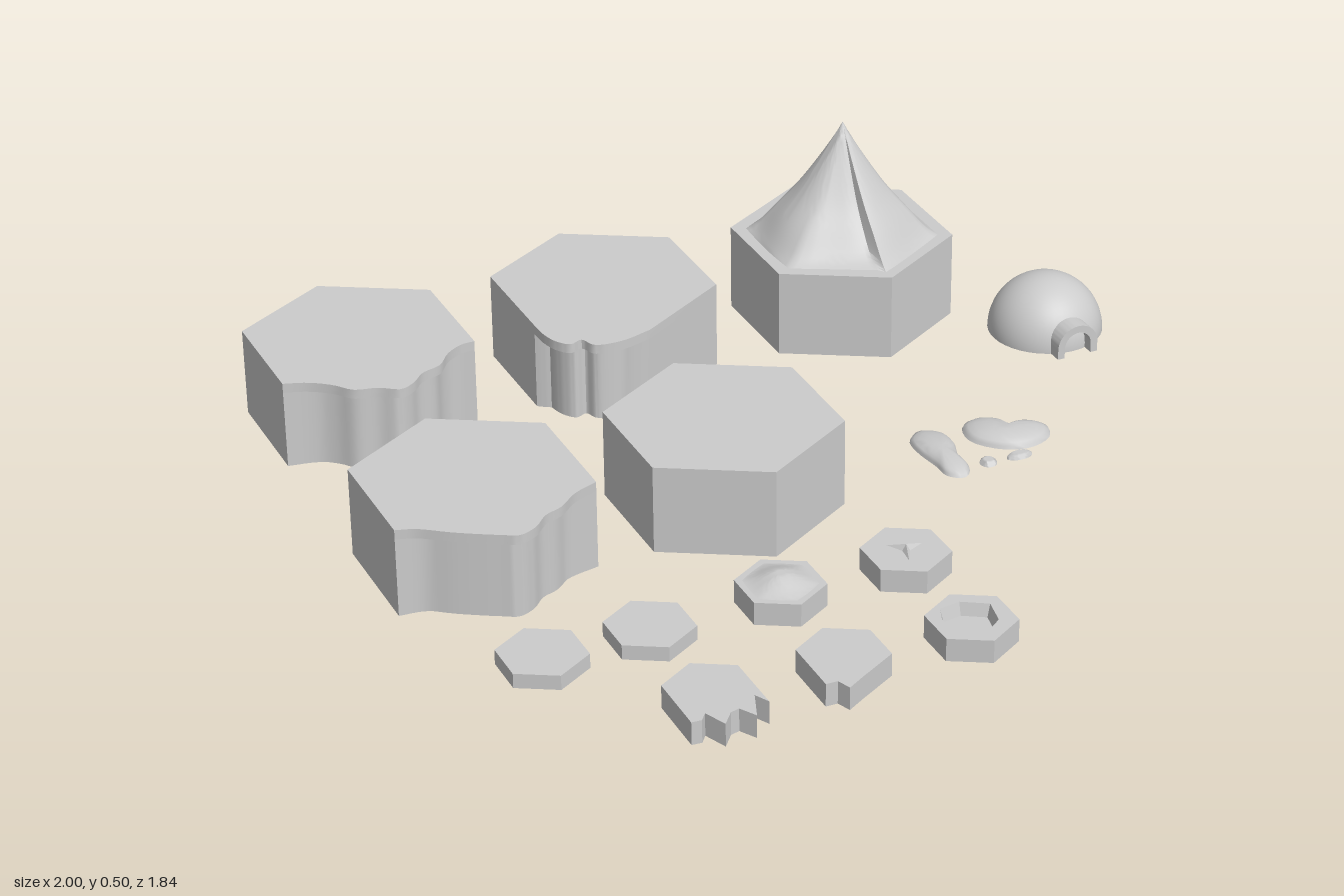
import * as THREE from 'three';
import { mergeGeometries, mergeVertices, toCreasedNormals } from 'three/addons/utils/BufferGeometryUtils.js';

const material = new THREE.MeshStandardMaterial({ color: 0xcccccc, side: THREE.DoubleSide });

function add(parent, name, geometry, x = 0, y = 0, z = 0) {
  const mesh = new THREE.Mesh(geometry, material);
  mesh.name = name;
  mesh.position.set(x, y, z);
  parent.add(mesh);
  return mesh;
}

// Geometry from a list of triangles, smooth except across sharp edges
function fromTriangles(positions, crease = 0.6) {
  const g = new THREE.BufferGeometry();
  g.setAttribute('position', new THREE.Float32BufferAttribute(positions, 3));
  return toCreasedNormals(mergeVertices(g), crease);
}

// Wall between two outlines of [x, z] points running counter-clockwise seen from above
function wall(low, high, y0, y1) {
  const p = [];
  low.forEach(([ax, az], i) => {
    const j = (i + 1) % low.length;
    const [bx, bz] = low[j], [cx, cz] = high[j], [dx, dz] = high[i];
    p.push(ax, y0, az, bx, y0, bz, cx, y1, cz, ax, y0, az, cx, y1, cz, dx, y1, dz);
  });
  return fromTriangles(p);
}

function flat(outline, y, hole) {
  const toVec = ([x, z]) => new THREE.Vector2(x, -z);
  const shape = new THREE.Shape(outline.map(toVec));
  if (hole) shape.holes.push(new THREE.Path(hole.map(toVec)));
  const g = new THREE.ShapeGeometry(shape).rotateX(-Math.PI / 2).translate(0, y, 0).toNonIndexed();
  g.deleteAttribute('uv');
  return g;
}

// Six corners, starting at the back point and going by the left side of the plan
const corners = r => Array.from({ length: 6 }, (_, i) => {
  const a = i * Math.PI / 3;
  return [-Math.sin(a) * r, -Math.cos(a) * r];
});

// Dense smooth line through plan points
function smooth(points, n = 40) {
  const c = new THREE.CatmullRomCurve3(points.map(([x, z]) => new THREE.Vector3(x, 0, z)));
  return c.getPoints(n).map(v => [v.x, v.z]);
}

// Hollow tile, open underneath unless closed
function tile(parent, name, x, z, outline, h, { hole, closed } = {}) {
  const parts = [wall(outline, outline, 0, h), flat(outline, h, hole)];
  if (closed) parts.push(flat(outline, 0));
  return add(parent, name, mergeGeometries(parts), x, 0, z);
}

// Hollow tile whose thin top slab overhangs a recessed, wavy shore
function shoreTile(parent, name, x, z, shore, keep, inset) {
  const c = corners(0.266), line = smooth(shore);
  const outline = [c[0], c[1], ...line, ...c.slice(keep)];
  const body = outline.map((p, i) => {
    const k = (i - 2) / (line.length - 1);
    if (k <= 0 || k >= 1) return p;
    const s = 1 - inset * Math.min(1, 8 * k, 8 * (1 - k));
    return [p[0] * s, p[1] * s];
  });
  const slab = 0.19, top = 0.213;
  add(parent, name, mergeGeometries([
    wall(body, body, 0, slab), flat(outline, slab), wall(outline, outline, slab, top), flat(outline, top),
  ]), x, 0, z);
}

// Hill that blends from a hexagonal foot to a round top; shape(t, angle) gives [spread, height]
function hill(r, shape, rings = 24, segs = 96) {
  const p = [];
  const at = (i, j) => {
    const t = i / rings, a = (j % segs) / segs * Math.PI * 2;
    const sector = (a % (Math.PI / 3)) - Math.PI / 6;
    const hex = Math.cos(Math.PI / 6) / Math.cos(sector);
    const [spread, y] = shape(t, a);
    const d = r * spread * THREE.MathUtils.lerp(0.93, hex, t * t);
    return [Math.sin(a) * d, y, Math.cos(a) * d];
  };
  for (let i = 0; i < rings; i++) for (let j = 0; j < segs; j++) {
    const a = at(i, j), b = at(i + 1, j), c = at(i + 1, j + 1), d = at(i, j + 1);
    p.push(...a, ...b, ...c);
    if (i) p.push(...a, ...c, ...d);
  }
  return fromTriangles(p, 0.9);
}

// Low rounded stone with a flat underside, from a plan outline
function stone(parent, name, x, z, points, h) {
  const line = smooth(points, 36).slice(0, -1);
  const closed = new THREE.CatmullRomCurve3(points.map(([a, b]) => new THREE.Vector3(a, 0, b)), true);
  const rim = closed.getPoints(36).slice(0, -1).map(v => [v.x, v.z]);
  const p = [], rings = 6, n = line.length;
  const at = (i, j) => {
    const a = i / rings * Math.PI / 2, [rx, rz] = rim[j % n];
    return [rx * Math.sin(a), h * Math.cos(a), rz * Math.sin(a)];
  };
  for (let i = 0; i < rings; i++) for (let j = 0; j < n; j++) {
    const a = at(i, j), b = at(i + 1, j), c = at(i + 1, j + 1), d = at(i, j + 1);
    p.push(...a, ...b, ...c);
    if (i) p.push(...a, ...c, ...d);
  }
  add(parent, name, mergeGeometries([fromTriangles(p, 1), flat(rim, 0)]), x, 0, z);
}

const oval = (a, b) => Array.from({ length: 8 }, (_, i) => {
  const t = -i * Math.PI / 4;
  return [a * Math.cos(t), b * Math.sin(t)];
});

export function createModel() {
  const group = new THREE.Group();
  group.name = 'hexTileSet';

  // Large tiles
  const coast = [[-0.23, 0.14], [-0.177, 0.16], [-0.13, 0.195], [-0.096, 0.235], [-0.043, 0.25], [0, 0.278],
    [0.037, 0.262], [0.07, 0.23], [0.118, 0.213], [0.155, 0.17], [0.198, 0.145], [0.23, 0.143]];
  const beach = [[-0.23, 0.145], [-0.187, 0.16], [-0.128, 0.203], [-0.075, 0.237], [-0.032, 0.262], [0, 0.278],
    [0.043, 0.262], [0.08, 0.227], [0.123, 0.21], [0.17, 0.172], [0.23, 0.148]];
  const bay = [[-0.23, 0.133], [-0.228, 0.18], [-0.215, 0.225], [-0.19, 0.252], [-0.16, 0.243], [-0.143, 0.278],
    [-0.08, 0.288], [0, 0.268]];
  shoreTile(group, 'coastTileBack', -0.77, -0.66, coast, 4, 0.07);
  shoreTile(group, 'coastTileFront', -0.77, 0.03, beach, 4, 0.07);
  shoreTile(group, 'bayTile', -0.158, -0.66, bay, 4, 0.12);
  tile(group, 'plainTile', -0.175, 0.042, corners(0.268), 0.213);
  tile(group, 'mountainTile', 0.457, -0.643, corners(0.266), 0.213);

  // Mountain with one sharp gully running down its front
  const profile = new THREE.CatmullRomCurve3([[0, 0.505], [0.07, 0.475], [0.24, 0.41], [0.46, 0.335],
    [0.66, 0.28], [0.86, 0.228], [1, 0.208]].map(([x, y]) => new THREE.Vector3(x, y, 0)));
  add(group, 'mountain', hill(0.238, (t, a) => {
    const v = profile.getPoint(t);
    const bump = 4 * t * (1 - t);
    const side = 2 * Math.PI - a;
    const gully = side < 0.9 ? 0.28 * (1 - side / 0.9) : 0;
    const swell = 0.07 * Math.sin(3 * a + 0.6) + 0.03 * Math.sin(5 * a + 2);
    return [v.x * (1 + bump * (0.06 + swell * 0.8 - gully)), v.y];
  }), 0.457, 0, -0.64);

  // Igloo: hollow dome and an arched entrance
  const igloo = new THREE.Group();
  igloo.name = 'igloo';
  igloo.position.set(0.86, 0, -0.353);
  group.add(igloo);
  add(igloo, 'iglooDome', new THREE.SphereGeometry(0.138, 40, 16, 0, Math.PI * 2, 0, Math.PI / 2));
  const arch = new THREE.Shape();
  arch.moveTo(0.053, 0).lineTo(0.053, 0.025).absarc(0, 0.025, 0.053, 0, Math.PI, false).lineTo(-0.053, 0)
    .lineTo(-0.035, 0).lineTo(-0.035, 0.025).absarc(0, 0.025, 0.035, Math.PI, 0, true).lineTo(0.035, 0);
  add(igloo, 'iglooEntrance', toCreasedNormals(
    new THREE.ExtrudeGeometry(arch, { depth: 0.06, bevelEnabled: false, curveSegments: 16 }), 0.6), 0, 0, 0.1);

  // Small tiles
  const r = 0.1, h = 0.055, c = corners(r), backZ = 0.485, frontZ = 0.785;
  tile(group, 'thinTile1', -0.8, backZ, c, 0.035, { closed: true });
  tile(group, 'thinTile2', -0.555, backZ, c, 0.035, { closed: true });
  tile(group, 'hillTile', -0.25, backZ, c, h);
  add(group, 'smallHill', hill(0.094, t => [t, 0.08 - 0.026 * (3 * t * t - 2 * t * t * t)], 10, 48), -0.25, 0, backZ);

  // Small tile topped by a three-armed ridge
  tile(group, 'ridgeTile', 0.05, backZ, c, h);
  const star = [];
  const armPoint = i => {
    const a = i * Math.PI / 3 + 0.2, d = i % 2 ? 0.01 : 0.045;
    return [Math.cos(a) * d, 0, -Math.sin(a) * d];
  };
  for (let i = 0; i < 6; i++) star.push(0, 0.014, 0, ...armPoint(i), ...armPoint(i + 1));
  add(group, 'threeArmRidge', fromTriangles(star, 0.1), 0.05, h, backZ);

  // Small tiles with broken front edges
  tile(group, 'jaggedTile', -0.555, frontZ, [c[0], c[1], [-0.087, 0.098], [-0.064, 0.1], [-0.048, 0.08],
    [-0.027, 0.133], [0, 0.1], [0.021, 0.095], [0.043, 0.133], [0.07, 0.065], [0.087, 0.098], c[5]], h);
  tile(group, 'brokenCornerTile', -0.25, frontZ, [c[0], c[1], [-0.087, 0.092], [-0.06, 0.093],
    [-0.048, 0.125], [-0.005, 0.1], c[4], c[5]], h);

  // Small tile with a pit in its top
  const pit = [[0.005, -0.065], [-0.045, -0.058], [-0.06, -0.02], [-0.056, 0.035], [0, 0.066], [0.047, 0.032], [0.06, -0.03]];
  const floor = pit.map(([x, z]) => [x * 0.87, z * 0.87]);
  tile(group, 'pitTile', 0.05, frontZ, c, h, { hole: pit });
  add(group, 'pit', mergeGeometries([wall(floor, pit, 0.025, h), flat(floor, 0.025)]), 0.05, 0, frontZ);

  // Low stones on the ground
  stone(group, 'longStone', 0.352, 0.08, [[0, -0.112], [-0.038, -0.085], [-0.045, -0.035], [-0.036, 0.04],
    [-0.032, 0.09], [0, 0.112], [0.027, 0.085], [0.028, 0.03], [0.047, -0.03], [0.04, -0.085]], 0.025);
  stone(group, 'beanStone', 0.525, 0.065, [[-0.03, -0.087], [-0.072, -0.075], [-0.086, -0.01], [-0.035, 0.055],
    [0.025, 0.074], [0.085, 0.052], [0.104, 0.01], [0.075, -0.022], [0.027, -0.016], [0.008, -0.06]], 0.028);
  stone(group, 'pebble1', 0.43, 0.158, oval(0.02, 0.02), 0.014);
  stone(group, 'pebble2', 0.508, 0.162, oval(0.032, 0.016), 0.014);
  return group;
}
